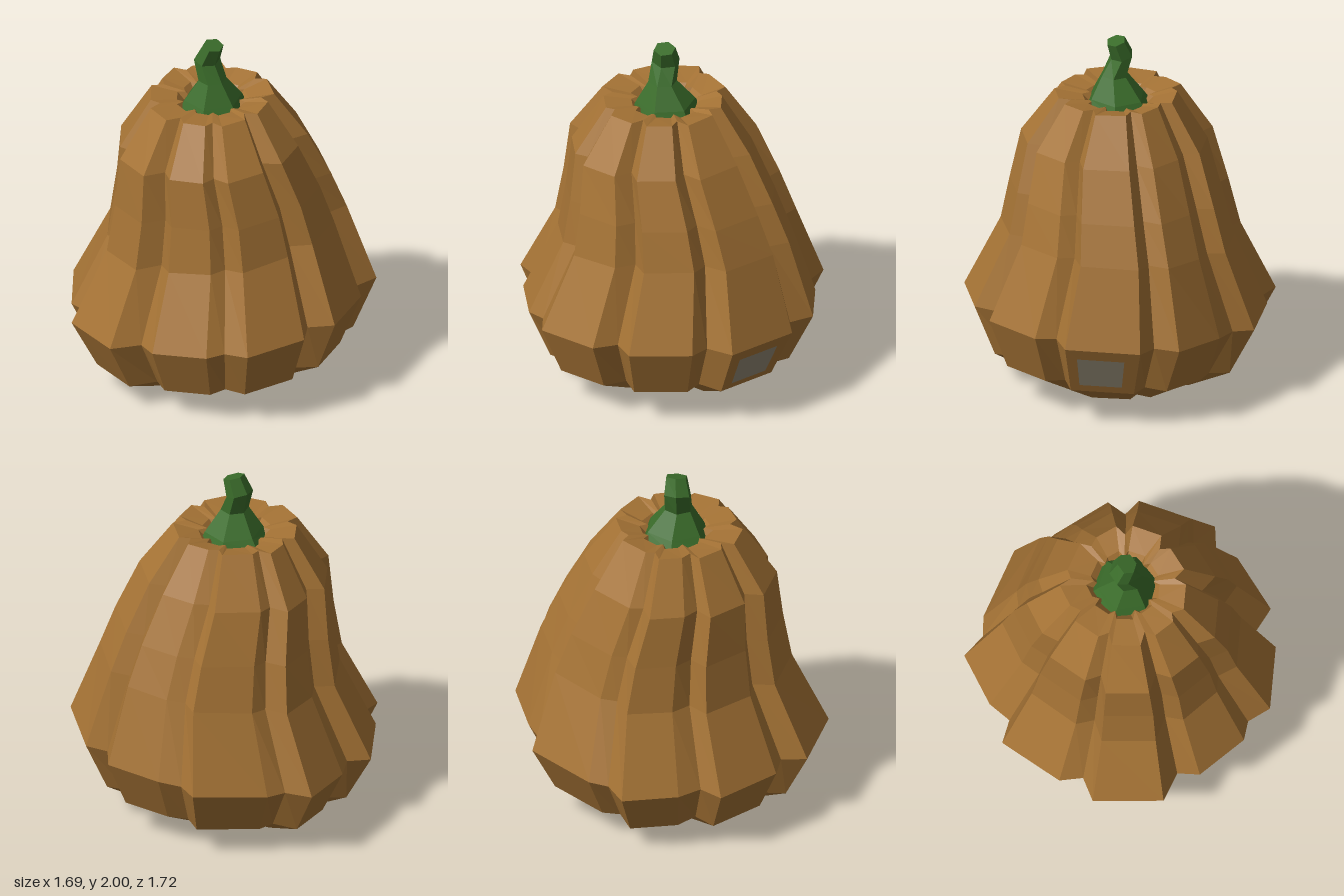
import * as THREE from 'three';

const skin = new THREE.MeshStandardMaterial({ color: 0xa57335 });
skin.name = 'brown skin';
const stemGreen = new THREE.MeshStandardMaterial({ color: 0x3a6c2a });
stemGreen.name = 'stem green';
const patchGrey = new THREE.MeshStandardMaterial({ color: 0x928974 });
patchGrey.name = 'patch grey';

// Widest outline [x, z]: nine lobes, each two crest corners then a groove.
const outline = [
  [-0.25, -0.75], [0.04, -0.86], [0.15, -0.77],
  [0.26, -0.83], [0.62, -0.63], [0.6, -0.47],
  [0.71, -0.43], [0.84, -0.11], [0.74, 0],
  [0.83, 0.11], [0.74, 0.45], [0.61, 0.5],
  [0.57, 0.6], [0.3, 0.75], [0.18, 0.72],
  [0.08, 0.86], [-0.3, 0.79], [-0.33, 0.65],
  [-0.46, 0.64], [-0.73, 0.37], [-0.67, 0.25],
  [-0.76, 0.14], [-0.85, -0.16], [-0.73, -0.25],
  [-0.71, -0.36], [-0.48, -0.7], [-0.36, -0.68],
];

// Body rings: height, scales, groove depth factor, shifts, tilts along x and z.
const levels = [
  { y: 0.1, sx: 0, sz: 0, g: 1, dx: 0, dz: 0, tx: 0, tz: 0 },
  { y: 0.022, sx: 0.51, sz: 0.5, g: 0.95, dx: 0.01, dz: -0.02, tx: 0.035, tz: -0.035 },
  { y: 0.165, sx: 0.84, sz: 0.84, g: 0.97, dx: 0.02, dz: 0, tx: 0.055, tz: -0.04 },
  { y: 0.455, sx: 1, sz: 1, g: 1, dx: 0, dz: 0, tx: 0.06, tz: -0.04 },
  { y: 0.88, sx: 0.765, sz: 0.8, g: 0.98, dx: 0.01, dz: -0.03, tx: 0.075, tz: -0.07 },
  { y: 1.13, sx: 0.7, sz: 0.715, g: 0.97, dx: 0.01, dz: -0.005, tx: 0.05, tz: -0.04 },
  { y: 1.41, sx: 0.615, sz: 0.615, g: 0.95, dx: 0, dz: 0.05, tx: 0.03, tz: -0.04 },
  { y: 1.675, sx: 0.405, sz: 0.405, g: 0.94, dx: 0, dz: 0.045, tx: 0, tz: -0.035 },
  { y: 1.65, sx: 0.235, sz: 0.235, g: 0.9, dx: 0, dz: 0.03, tx: 0, tz: 0 },
  { y: 1.6, sx: 0.18, sz: 0.18, g: 0.9, dx: 0, dz: 0.03, tx: 0, tz: 0 },
  { y: 1.6, sx: 0, sz: 0, g: 1, dx: 0, dz: 0.03, tx: 0, tz: 0 },
];

function bodyRing({ y, sx, sz, g, dx, dz, tx, tz }) {
  return outline.map(([x, z], i) => {
    const k = i % 3 === 2 ? g : 1;
    const px = x * sx * k + dx, pz = z * sz * k + dz;
    return new THREE.Vector3(px, y + px * tx + pz * tz, pz);
  });
}

// Skin between successive rings, left faceted.
function loft(rings) {
  const points = [];
  for (let r = 0; r < rings.length - 1; r++) {
    const a = rings[r], b = rings[r + 1], n = a.length;
    for (let i = 0; i < n; i++) {
      const j = (i + 1) % n;
      points.push(a[i], b[i], b[j], a[i], b[j], a[j]);
    }
  }
  const geometry = new THREE.BufferGeometry().setFromPoints(points);
  geometry.computeVertexNormals();
  return geometry;
}

// Six-sided stem ring, optionally leaning down toward +x.
function stemRing(cx, y, cz, rx, rz, lean = 0) {
  return Array.from({ length: 6 }, (_, i) => {
    const a = (i / 6) * Math.PI * 2;
    const x = rx * Math.cos(a);
    return new THREE.Vector3(cx + x, y - x * lean, cz + rz * Math.sin(a));
  });
}

export function createModel() {
  const group = new THREE.Group();
  group.name = 'gourd';
  const add = (name, geometry, material) => {
    const mesh = new THREE.Mesh(geometry, material);
    mesh.name = name;
    group.add(mesh);
  };

  // Ribbed body, from the base centre up and over into the stem hollow
  const rings = levels.map(bodyRing);
  add('body', loft(rings), skin);

  // Crooked stem
  add('stem', loft([
    stemRing(0.01, 1.61, 0.025, 0.185, 0.19),
    stemRing(0.015, 1.66, 0.025, 0.155, 0.165),
    stemRing(0.025, 1.78, 0.04, 0.075, 0.08),
    stemRing(-0.018, 1.89, 0.04, 0.062, 0.08, 0.3),
    stemRing(0.02, 1.985, 0.03, 0.052, 0.062, 0.3),
    stemRing(0.02, 1.985, 0.03, 0, 0),
  ]), stemGreen);

  // Flat patch on the lower band of a rear lobe
  const [low, high] = [rings[2], rings[3]];
  const at = (u, v) => low[4].clone().lerp(low[3], u)
    .lerp(high[4].clone().lerp(high[3], u), v);
  const corners = [at(0.15, 0.17), at(0.8, 0.17), at(0.8, 0.81), at(0.15, 0.81)];
  const normal = corners[2].clone().sub(corners[0])
    .cross(corners[3].clone().sub(corners[1])).normalize();
  if (normal.z > 0) normal.negate();
  const [p, q, r, s] = corners.map((c) => c.addScaledVector(normal, 0.008));
  const patch = new THREE.BufferGeometry().setFromPoints([p, q, r, p, r, s]);
  patch.computeVertexNormals();
  add('patch', patch, patchGrey);

  return group;
}
